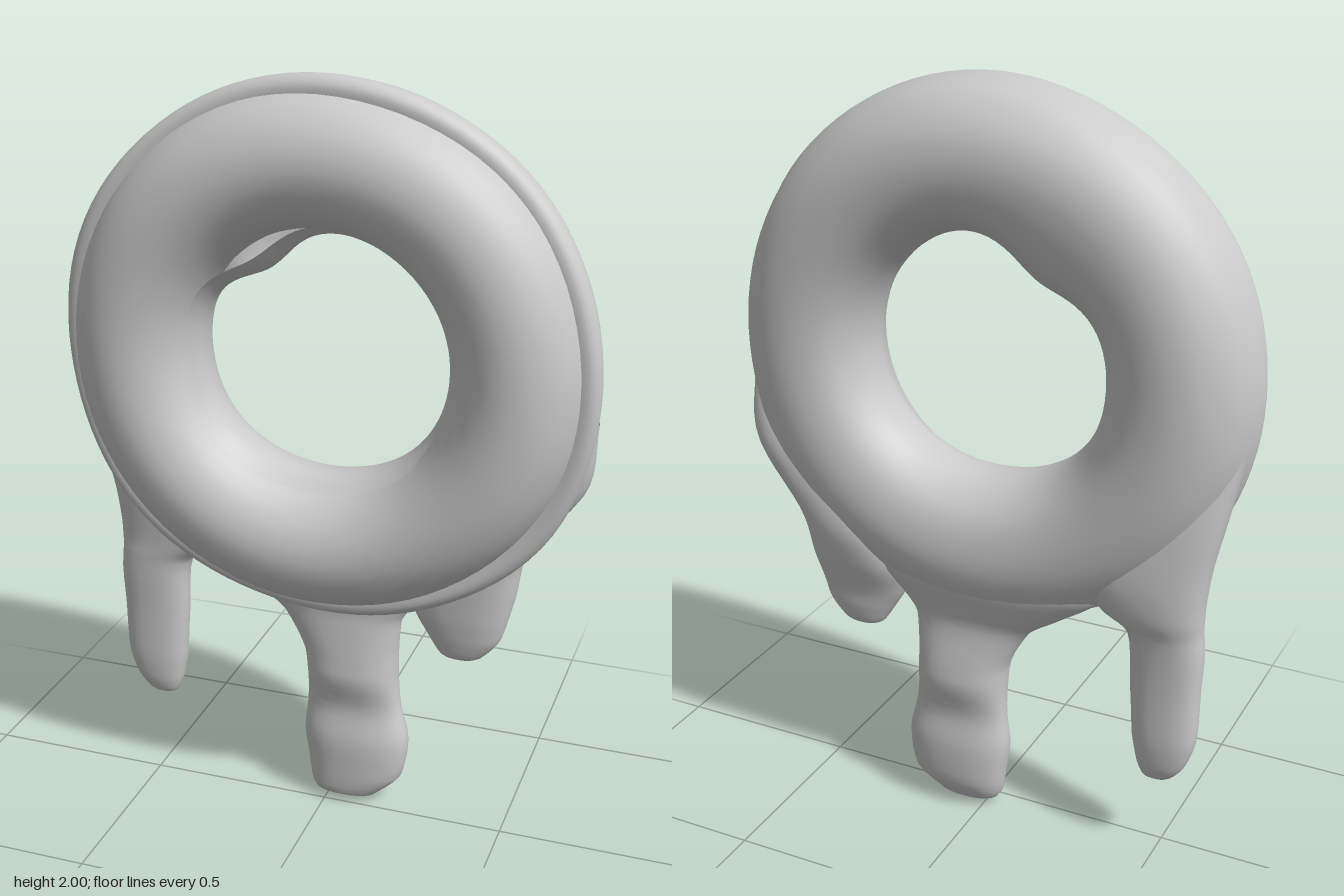
import * as THREE from 'three';
import { mergeVertices } from 'three/addons/utils/BufferGeometryUtils.js';

const CY = 1.3, R = 0.5; // ring centre height and ring radius

// Smooth surface from a grid of points; coincident seam points are welded.
function gridSurface(rows, cols, point) {
  const pos = [], index = [];
  for (let i = 0; i <= rows; i++)
    for (let j = 0; j <= cols; j++) pos.push(...point(i / rows, j / cols));
  for (let i = 0; i < rows; i++)
    for (let j = 0; j < cols; j++) {
      const a = i * (cols + 1) + j, b = a + cols + 1;
      index.push(a, a + 1, b, a + 1, b + 1, b);
    }
  const g = new THREE.BufferGeometry();
  g.setAttribute('position', new THREE.Float32BufferAttribute(pos, 3));
  g.setIndex(index);
  const welded = mergeVertices(g, 1e-5);
  welded.computeVertexNormals();
  return welded;
}

// Bell curve around an angle in degrees
function bell(theta, deg, width) {
  let d = theta * 180 / Math.PI - deg;
  d = ((d + 540) % 360) - 180;
  return Math.exp(-(d * d) / (width * width));
}

// Icing shell over the back half of the ring, with an uneven rim
function icingGeometry() {
  const profile = new THREE.CatmullRomCurve3([
    [0.14, 0.05], [0.18, 0.048], [0.2, 0.025], [0.19, -0.04], [0.16, -0.1], [0.09, -0.155],
    [0, -0.172], [-0.09, -0.15], [-0.145, -0.095], [-0.168, -0.03], [-0.168, 0.03], [-0.14, 0.08],
  ].map(([u, z]) => new THREE.Vector3(u, z, 0)));
  return gridSurface(96, 40, (s, t) => {
    const a = (s % 1) * Math.PI * 2;
    const p = profile.getPoint(t);
    let u = p.x, z = p.y;
    const inner = Math.max(0, -u / 0.17), outer = Math.max(0, u / 0.2);
    u -= inner * (0.07 * bell(a, 122, 24) + 0.025 * bell(a, 268, 45) + 0.012 * bell(a, 180, 30));
    u += outer * 0.02 * bell(a, 322, 20);
    if (z > -0.03) z += outer * 0.01 * Math.sin(5 * a + 1);
    const r = R + u;
    return [r * Math.cos(a), CY + r * Math.sin(a), z];
  });
}

// Drip lofted through rows of [y, left x, right x, front z, back z]
function dripGeometry(rows) {
  const mid = new THREE.CatmullRomCurve3(rows.map(([y, l, r, f, b]) => new THREE.Vector3((l + r) / 2, y, (f + b) / 2)));
  const half = new THREE.CatmullRomCurve3(rows.map(([, l, r, f, b]) => new THREE.Vector3((r - l) / 2, 0, (f - b) / 2)));
  const soft = (v) => Math.sign(v) * Math.pow(Math.abs(v), 0.85);
  return gridSurface(40, 28, (s, t) => {
    const a = (t % 1) * Math.PI * 2;
    const c = mid.getPoint(s), h = half.getPoint(s);
    return [c.x + Math.max(0, h.x) * soft(Math.cos(a)), c.y, c.z + Math.max(0, h.z) * soft(Math.sin(a))];
  });
}

export function createModel() {
  const group = new THREE.Group();
  const material = new THREE.MeshStandardMaterial({ color: 0xcccccc, side: THREE.DoubleSide });
  const add = (name, geometry) => {
    const mesh = new THREE.Mesh(geometry, material);
    mesh.name = name;
    group.add(mesh);
    return mesh;
  };

  // Dough ring
  add('dough', new THREE.TorusGeometry(R, 0.168, 32, 80)).position.y = CY;

  // Icing and the sheet of it that sags between the drips
  add('icing', icingGeometry());

  add('rightDrip', dripGeometry([
    [1.25, -0.695, -0.55, 0.03, -0.06],
    [1.0, -0.645, -0.4, 0.03, -0.12],
    [0.82, -0.61, -0.27, 0.03, -0.14],
    [0.72, -0.602, -0.32, 0.02, -0.13],
    [0.66, -0.6, -0.4, 0.015, -0.11],
    [0.5, -0.6, -0.415, 0.005, -0.1],
    [0.36, -0.597, -0.425, 0.0, -0.1],
    [0.28, -0.57, -0.44, -0.01, -0.09],
    [0.24, -0.535, -0.457, -0.025, -0.075],
    [0.225, -0.49, -0.49, -0.05, -0.05],
  ]));

  add('middleDrip', dripGeometry([
    [0.88, -0.4, 0.42, 0.02, -0.15],
    [0.72, -0.34, 0.34, 0.03, -0.15],
    [0.64, -0.23, 0.25, 0.025, -0.13],
    [0.57, -0.13, 0.2, 0.02, -0.115],
    [0.46, -0.07, 0.19, 0.025, -0.13],
    [0.4, -0.062, 0.19, 0.027, -0.135],
    [0.3, -0.062, 0.2, 0.005, -0.115],
    [0.2, -0.07, 0.222, 0.018, -0.125],
    [0.09, -0.055, 0.205, 0.015, -0.118],
    [0.03, -0.035, 0.14, 0.005, -0.09],
    [0.005, 0.06, 0.06, -0.045, -0.045],
  ]));

  add('leftDrip', dripGeometry([
    [1.2, 0.52, 0.695, 0.03, -0.06],
    [1.0, 0.4, 0.665, 0.03, -0.14],
    [0.82, 0.27, 0.53, 0.03, -0.16],
    [0.7, 0.22, 0.505, 0.02, -0.14],
    [0.61, 0.24, 0.485, 0.01, -0.11],
    [0.55, 0.275, 0.465, 0.0, -0.1],
    [0.5, 0.31, 0.42, -0.015, -0.085],
    [0.48, 0.365, 0.365, -0.05, -0.05],
  ]));

  return group;
}
